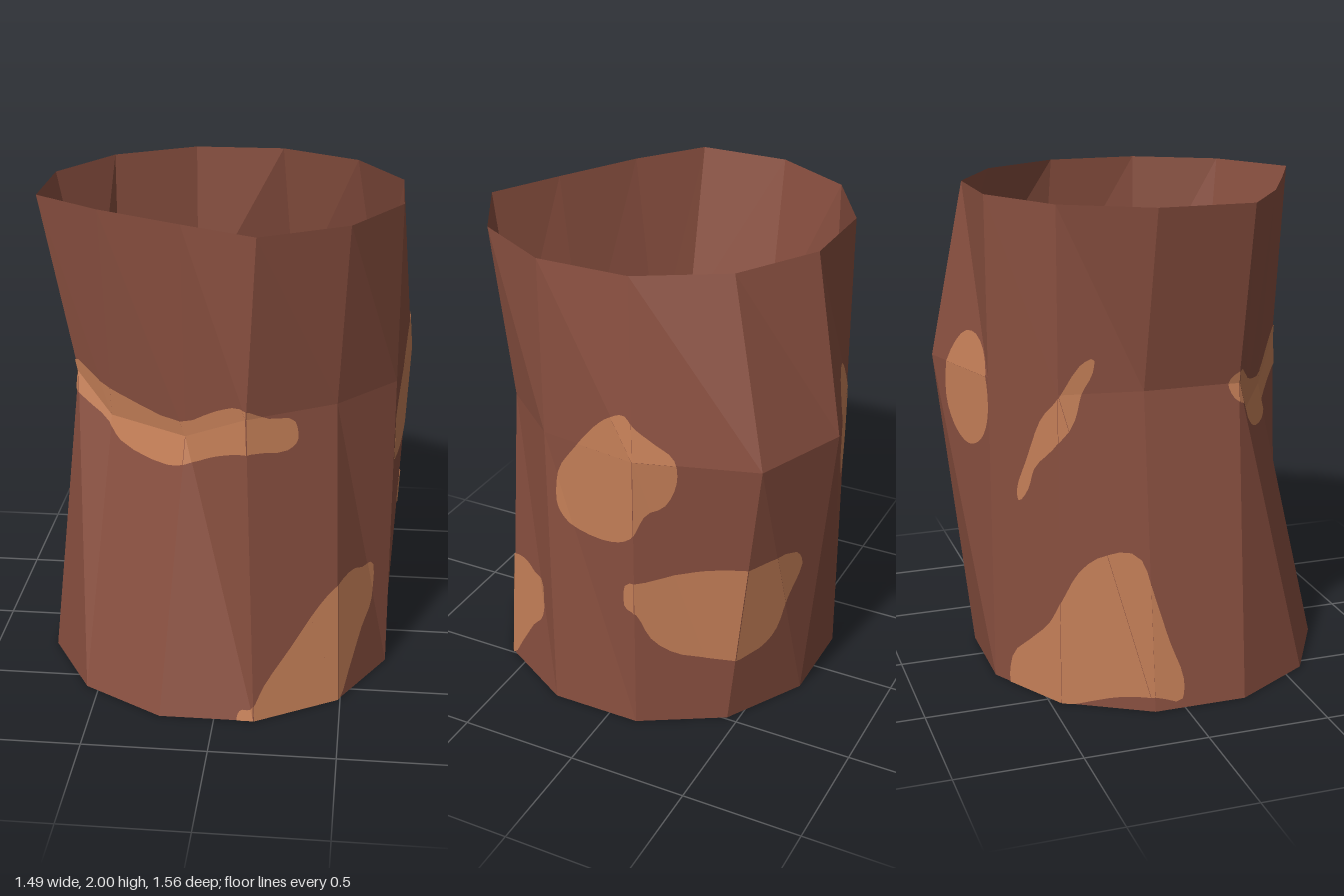
import * as THREE from 'three';

const SIDES = 12, R = 0.736, CX = -0.03, CZ = 0.065;

const bark = new THREE.MeshStandardMaterial({ color: 0x8a5040, side: THREE.DoubleSide });
bark.name = 'barkBrown';
const tan = new THREE.MeshStandardMaterial({ color: 0xc68058, side: THREE.DoubleSide });
tan.name = 'patchTan';
const dark = new THREE.MeshStandardMaterial({ color: 0x222222, side: THREE.DoubleSide });
dark.name = 'floorBlack';

const wrap = (k) => ((k % SIDES) + SIDES) % SIDES;

function regularRing(y) {
  return Array.from({ length: SIDES }, (_, k) => {
    const a = THREE.MathUtils.degToRad(15 + 30 * k);
    return new THREE.Vector3(CX + R * Math.cos(a), y, CZ + R * Math.sin(a));
  });
}

// Three rings: a regular foot, a bent waist and a slightly dented rim
function makeRings() {
  const foot = regularRing(0), waist = regularRing(1.28), rim = regularRing(2);
  const bends = {
    1: [0.455, 1.28, 0.52], 2: [0.12, 1.28, 0.715], 3: [-0.13, 1.13, 0.54],
    4: [-0.45, 1.13, 0.35], 5: [-0.6, 1.28, 0.26], 6: [-0.6, 1.28, -0.13],
    9: [0.21, 1.28, -0.78], 10: [0.6, 1.28, -0.63], 11: [0.74, 1.28, -0.16],
  };
  for (const k in bends) waist[k].set(...bends[k]);
  rim[3].set(-0.13, 2, 0.63);
  rim[4].set(-0.47, 2, 0.45);
  return [foot, waist, rim];
}

// Wall triangles of one column; flat = corner in unrolled (side number, height) space
function columnTriangles(rings, k) {
  const corner = (ring, col) => {
    const p = rings[ring][wrap(col)];
    return { p, flat: new THREE.Vector3(col, p.y, 0) };
  };
  const list = [];
  for (let r = 0; r < 2; r++) {
    const a = corner(r, k), b = corner(r, k + 1), c = corner(r + 1, k + 1), d = corner(r + 1, k);
    list.push([a, c, b], [a, d, c]);
  }
  return list;
}

// Unshared corners give every facet its own flat normal
function facets(points, material, name) {
  const g = new THREE.BufferGeometry().setFromPoints(points);
  g.computeVertexNormals();
  const mesh = new THREE.Mesh(g, material);
  mesh.name = name;
  return mesh;
}

// Clip an outline to one triangle of the unrolled wall
function clip(outline, tri) {
  let poly = outline;
  for (let i = 0; i < 3; i++) {
    const a = tri[i].flat, b = tri[(i + 1) % 3].flat;
    const side = (q) => -((b.x - a.x) * (q.y - a.y) - (b.y - a.y) * (q.x - a.x));
    const out = [];
    poly.forEach((p, j) => {
      const q = poly[(j + 1) % poly.length];
      const sp = side(p), sq = side(q);
      if (sp >= 0) out.push(p);
      if ((sp >= 0) !== (sq >= 0)) out.push(p.clone().lerp(q, sp / (sp - sq)));
    });
    poly = out;
  }
  return poly;
}

// Wrap a patch outline around the wall, just proud of both its faces
function wallPatch(rings, coords, name) {
  const outline = new THREE.CatmullRomCurve3(
    coords.map(([u, y]) => new THREE.Vector3(u, y, 0)), true, 'centripetal')
    .getPoints(coords.length * 3).slice(0, -1);
  outline.forEach((p) => { p.y = Math.max(p.y, 0); });
  const us = outline.map((p) => p.x);
  const points = [];
  for (let k = Math.floor(Math.min(...us)); k < Math.max(...us); k++) {
    for (const tri of columnTriangles(rings, k)) {
      const poly = clip(outline, tri);
      if (poly.length < 3) continue;
      const [a, b, c] = tri;
      const normal = new THREE.Triangle(a.p, b.p, c.p).getNormal(new THREE.Vector3());
      const placed = poly.map((q) => THREE.Triangle.getInterpolation(
        q, a.flat, b.flat, c.flat, a.p, b.p, c.p, new THREE.Vector3()));
      const faces = THREE.ShapeUtils.triangulateShape(poly.map((q) => new THREE.Vector2(q.x, q.y)), []);
      for (const offset of [0.004, -0.004]) {
        for (const f of faces) {
          for (const i of f) points.push(placed[i].clone().addScaledVector(normal, offset));
        }
      }
    }
  }
  return facets(points, tan, name);
}

// Patch outlines as [side number, height]
const PATCHES = {
  frontBandPatch: [[5.12, 1.28], [5, 1.33], [4.5, 1.3], [4, 1.25], [3.78, 1.23], [3.06, 1.19], [2.48, 1.28],
    [2.08, 1.32], [1.76, 1.27], [1.47, 1.24], [1.44, 1.17], [1.56, 1.13], [1.97, 1.14], [2.5, 1.09],
    [2.9, 1.03], [3.2, 1.0], [3.85, 1.04], [4.05, 1.1], [4.8, 1.18], [5.05, 1.22]],
  frontFootPatch: [[2.18, 0], [2.16, 0.04], [2.03, 0.05], [1.87, 0.15], [1.56, 0.29], [1.21, 0.45], [0.98, 0.52],
    [0.7, 0.54], [0.52, 0.52], [0.3, 0.5], [0.32, 0.35], [0.53, 0.25], [0.79, 0.1], [0.98, 0]],
  upperSidePatch: [[-0.15, 1.12], [-0.34, 1.25], [-0.59, 1.38], [-0.76, 1.44], [-0.93, 1.46], [-1.04, 1.41],
    [-1.18, 1.36], [-1.33, 1.3], [-1.36, 1.2], [-1.29, 1.09], [-1.11, 1.03], [-0.98, 0.93], [-0.76, 0.88],
    [-0.39, 0.88], [-0.22, 0.91], [-0.12, 0.98]],
  lowerSidePatch: [[11.1, 0.69], [10.88, 0.72], [10.6, 0.75], [10.33, 0.79], [9.95, 0.81], [9.38, 0.8],
    [9.27, 0.72], [9.42, 0.57], [9.5, 0.43], [9.7, 0.35], [10.5, 0.35], [10.83, 0.44], [10.98, 0.56], [11.11, 0.59]],
  backOvalPatch: [[8.0, 1.2], [8.08, 1.34], [8.3, 1.43], [8.55, 1.41], [8.72, 1.28], [8.74, 1.13], [8.6, 1.02],
    [8.35, 0.97], [8.12, 1.02], [8.02, 1.1]],
  backStreakPatch: [[6.58, 1.41], [6.75, 1.39], [7.03, 1.25], [7.25, 1.16], [7.45, 0.99], [7.6, 0.85], [7.58, 0.81],
    [7.43, 0.87], [7.34, 0.96], [7.07, 1.06], [6.82, 1.18], [6.73, 1.28], [6.6, 1.36]],
  backFootPatch: [[7.76, 0], [7.72, 0.12], [7.44, 0.23], [7.16, 0.33], [7, 0.43], [6.8, 0.57], [6.5, 0.65],
    [6.1, 0.62], [5.95, 0.45], [5.82, 0.28], [5.68, 0.12], [5.7, 0.04], [6, 0.06], [6.4, 0.05], [6.7, 0.02], [6.9, 0]],
};

export function createModel() {
  const model = new THREE.Group();
  model.name = 'bentHollowTrunk';
  const rings = makeRings();

  // Faceted open wall
  const wall = [];
  for (let k = 0; k < SIDES; k++) {
    for (const tri of columnTriangles(rings, k)) wall.push(...tri.map((c) => c.p));
  }
  model.add(facets(wall, bark, 'trunkWall'));

  // Dark floor closing the foot
  const floor = new THREE.Mesh(new THREE.CircleGeometry(R, SIDES, Math.PI / 12), dark);
  floor.name = 'trunkFloor';
  floor.rotation.x = Math.PI / 2;
  floor.position.set(CX, 0, CZ);
  model.add(floor);

  // Pale patches on the wall
  for (const name in PATCHES) model.add(wallPatch(rings, PATCHES[name], name));
  return model;
}
